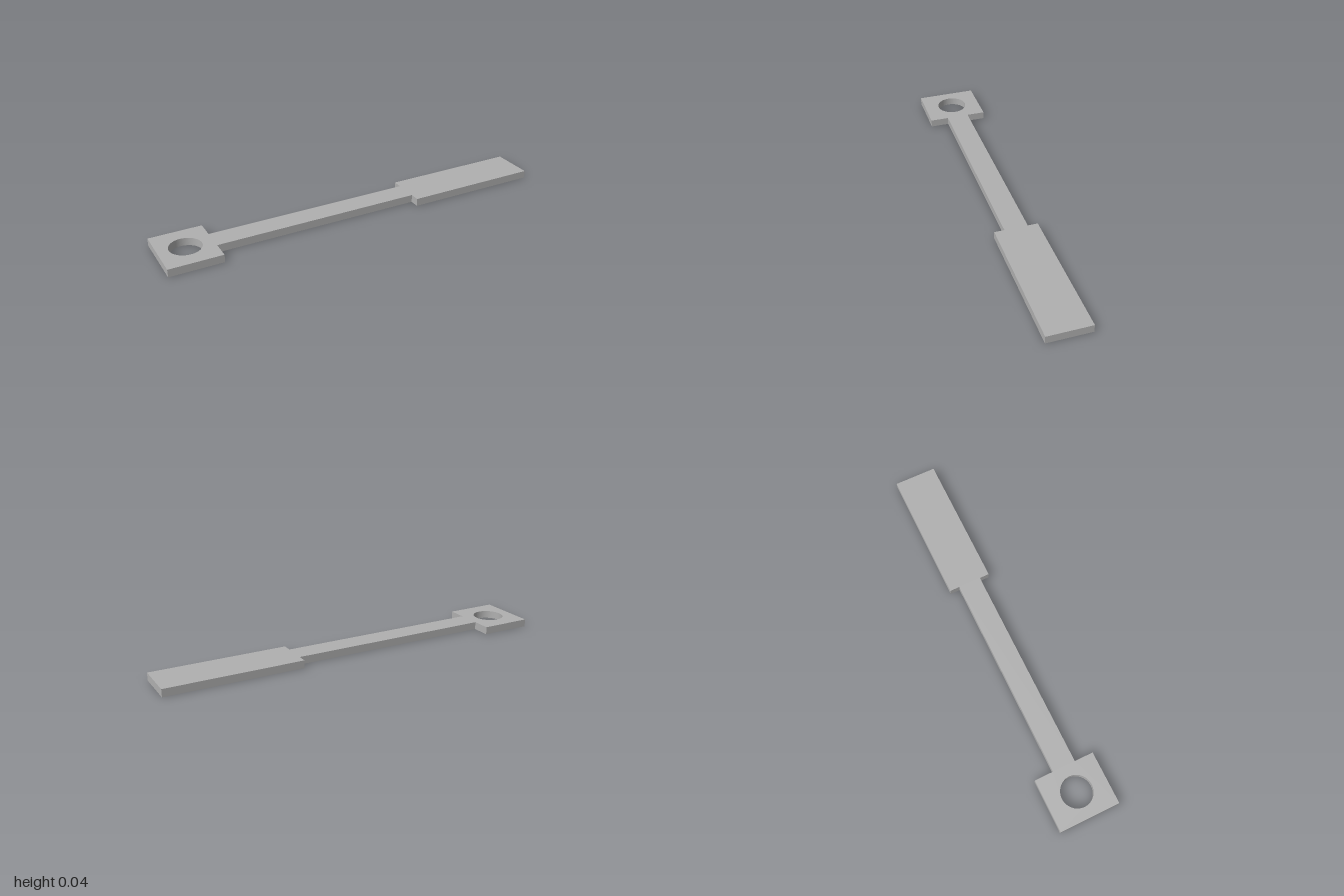
import * as THREE from 'three';

export function createModel() {
  const group = new THREE.Group();
  group.name = 'flatHandledTool';
  const grey = new THREE.MeshStandardMaterial({ color: 0xb0b0b0 });
  grey.name = 'plain grey';

  // Half outline as (x, half width): square head, narrow shaft, wide grip
  const half = [
    [-1, 0.153], [-0.737, 0.153],
    [-0.737, 0.058], [0.31, 0.058],
    [0.31, 0.108], [1, 0.108],
  ];
  const lower = half.map(([x, w]) => new THREE.Vector2(x, -w));
  const upper = half.map(([x, w]) => new THREE.Vector2(x, w)).reverse();
  const outline = new THREE.Shape([...lower, ...upper]);

  // Round hole through the head
  const hole = new THREE.Path();
  hole.absarc(-0.868, 0, 0.078, 0, Math.PI * 2, true);
  outline.holes.push(hole);

  // Lay the plate flat on the ground
  const geometry = new THREE.ExtrudeGeometry(outline, {
    depth: 0.039, bevelEnabled: false, curveSegments: 48,
  });
  geometry.rotateX(-Math.PI / 2);

  const plate = new THREE.Mesh(geometry, grey);
  plate.name = 'plateWithHeadShaftAndGrip';
  group.add(plate);
  return group;
}
